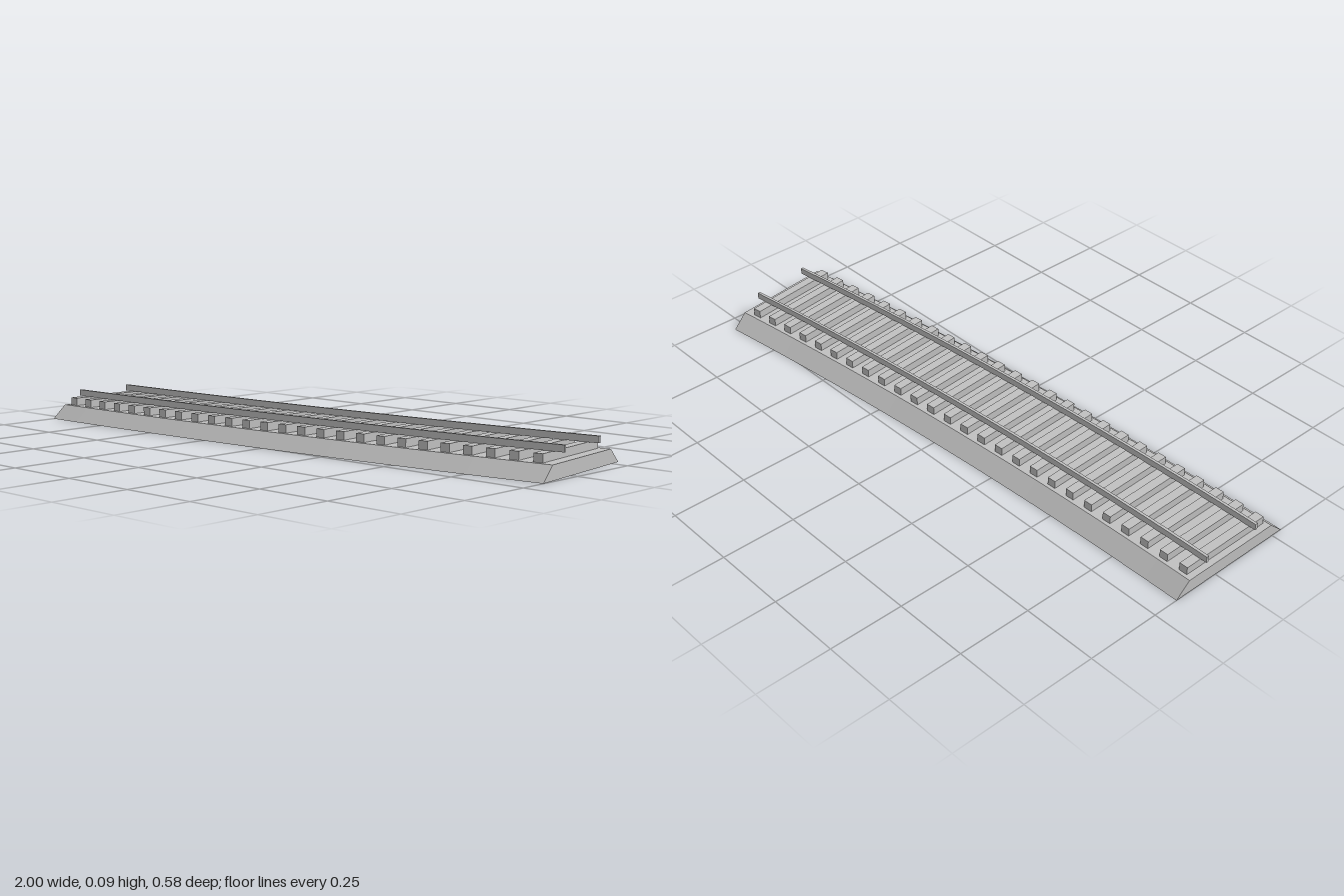
import * as THREE from 'three';

const ANGLE = THREE.MathUtils.degToRad(7.5); // total bend of the track
const RADIUS = 15.096;                       // radius of the centre line
const LENGTH = RADIUS * ANGLE;
const START_Z = 0.0635;                      // centre line at the x = -1 end

// Sweep a cross-section of [offset from centre line, height] along the arc.
function sweep(profile, from, to, steps) {
  const shape = new THREE.Shape(profile.map(([o, y]) => new THREE.Vector2(-o, y)));
  const geo = new THREE.ExtrudeGeometry(shape, { depth: to - from, steps, bevelEnabled: false });
  const p = geo.attributes.position;
  for (let i = 0; i < p.count; i++) {
    const r = RADIUS - p.getX(i);
    const t = (from + p.getZ(i)) / RADIUS;
    p.setXYZ(i, -1 + r * Math.sin(t), p.getY(i), START_Z - RADIUS + r * Math.cos(t));
  }
  geo.computeVertexNormals();
  return geo;
}

const rect = (o0, o1, y0, y1) => [[o0, y0], [o1, y0], [o1, y1], [o0, y1]];

export function createModel() {
  const track = new THREE.Group();
  track.name = 'curvedTrack';
  const grey = new THREE.MeshStandardMaterial({ color: 0xc0c0c0, flatShading: true });
  grey.name = 'grey';

  const add = (name, geo, parent = track) => {
    const mesh = new THREE.Mesh(geo, grey);
    mesh.name = name;
    parent.add(mesh);
  };

  // Ballast bed with sloping shoulders
  add('ballastBed', sweep(
    [[-0.2265, 0], [0.2265, 0], [0.1765, 0.045], [-0.1765, 0.045]], 0, LENGTH, 16));

  // Sleepers, evenly spaced along the arc
  const sleepers = new THREE.Group();
  sleepers.name = 'sleepers';
  track.add(sleepers);
  for (let i = 0; i < 26; i++) {
    const s = 0.037 + i * 0.0755;
    add('sleeper', sweep(rect(-0.1645, 0.1645, 0.045, 0.071), s - 0.015, s + 0.015, 1), sleepers);
  }

  // Pair of rails
  add('outerRail', sweep(rect(0.1, 0.1095, 0.071, 0.092), 0, LENGTH, 16));
  add('innerRail', sweep(rect(-0.1095, -0.1, 0.071, 0.092), 0, LENGTH, 16));

  return track;
}
